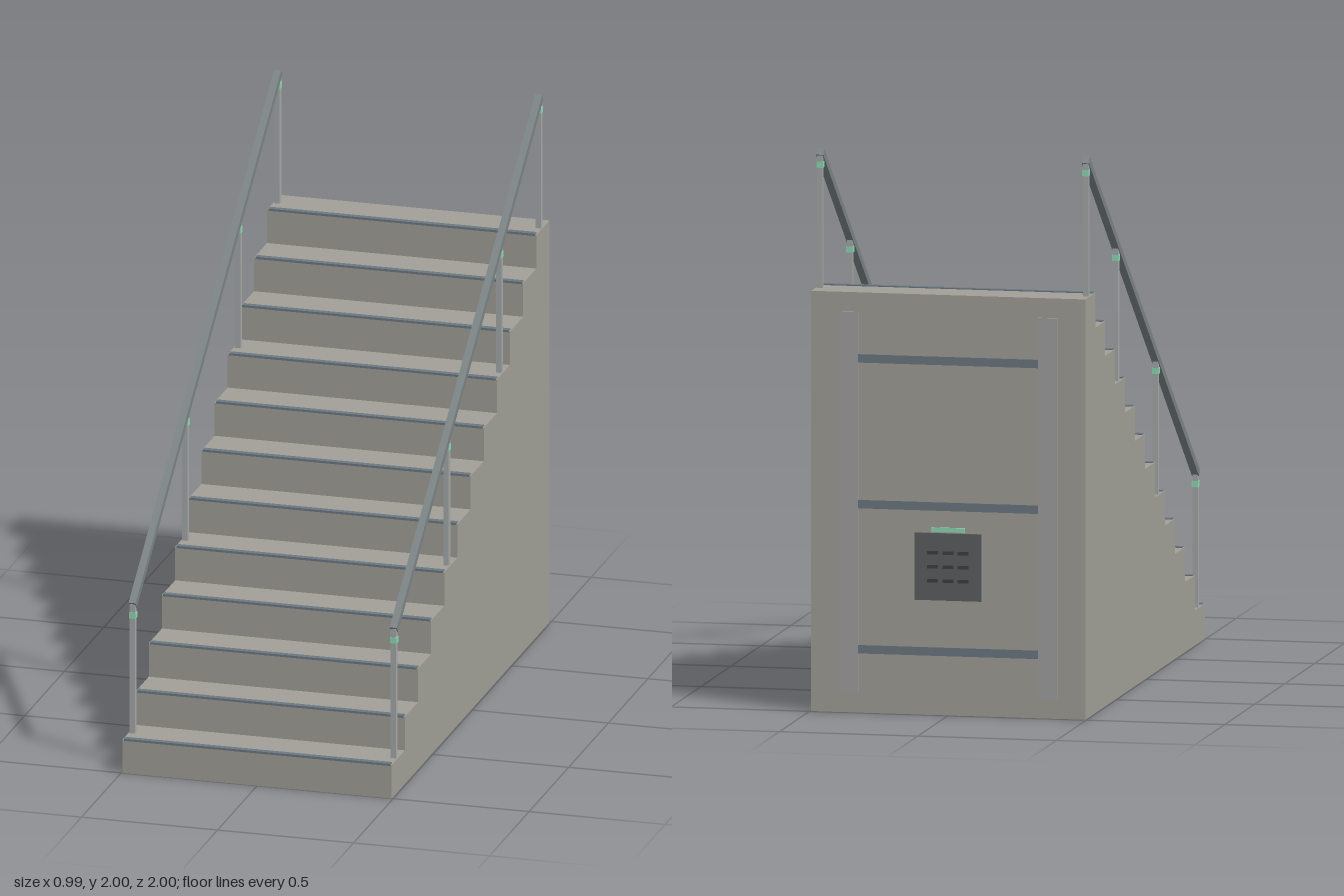
import * as THREE from 'three';

const STEPS = 12, RISE = 0.125, RUN = 0.166, WIDTH = 0.99;
const BACK = 1 - STEPS * RUN;

const mat = (color) => new THREE.MeshStandardMaterial({ color });
const stone = mat(0xa19f97);
const metal = mat(0x7c8486);
const postMetal = mat(0xa6a9a9);
const trim = mat(0x6c7882);
const bracket = mat(0xa0a0a0);
const dark = mat(0x5c5e60);
const slot = mat(0x3c3e40);
const mint = mat(0x8fd8b4);

function box(parent, name, material, size, pos) {
  const mesh = new THREE.Mesh(new THREE.BoxGeometry(...size), material);
  mesh.name = name;
  mesh.position.set(...pos);
  parent.add(mesh);
  return mesh;
}

function group(parent, name) {
  const g = new THREE.Group();
  g.name = name;
  parent.add(g);
  return g;
}

const stepZ = (i) => 1 - (i + 0.5) * RUN;

// Solid blocks reaching the floor, each with a nosing strip on its front edge
function addSteps(parent) {
  const steps = group(parent, 'steps');
  for (let i = 0; i < STEPS; i++) {
    const h = (i + 1) * RISE;
    box(steps, 'step', stone, [WIDTH, h, RUN], [0, h / 2, stepZ(i)]);
    box(steps, 'nosing', trim, [WIDTH - 0.01, 0.008, 0.022], [0, h, 1 - i * RUN - 0.0105]);
  }
}

// One handrail: four posts with collars and a sloping square rail
function addHandrail(parent, side) {
  const rail = group(parent, side > 0 ? 'leftHandrail' : 'rightHandrail');
  const x = side * 0.48;
  const z0 = stepZ(0), z1 = stepZ(STEPS - 1);
  const y0 = 0.607, y1 = 1.982;
  const railY = (z) => y0 + (y1 - y0) * (z0 - z) / (z0 - z1);
  for (const i of [0, 4, 8, 11]) {
    const z = stepZ(i), base = (i + 1) * RISE, top = railY(z);
    box(rail, 'post', postMetal, [0.02, top - base, 0.02], [x, (top + base) / 2, z]);
    box(rail, 'collar', mint, [0.024, 0.022, 0.024], [x, top - 0.042, z]);
  }
  const dy = y1 - y0, dz = z0 - z1;
  const bar = box(rail, 'rail', metal, [0.026, 0.026, Math.hypot(dy, dz) + 0.014],
    [x, (y0 + y1) / 2, (z0 + z1) / 2]);
  bar.rotation.x = Math.atan2(dy, dz);
}

// Frame and control panel on the rear face
function addBack(parent) {
  const back = group(parent, 'backFrame');
  for (const s of [-1, 1]) {
    box(back, 'upright', bracket, [0.07, 1.36, 0.008], [s * 0.36, 0.75, BACK - 0.004]);
  }
  for (const y of [0.227, 0.745, 1.265]) {
    box(back, 'crossbar', trim, [0.65, 0.03, 0.006], [0, y, BACK - 0.003]);
  }
  const panel = group(parent, 'controlPanel');
  box(panel, 'plate', dark, [0.24, 0.24, 0.006], [0, 0.53, BACK - 0.003]);
  box(panel, 'statusLight', mint, [0.12, 0.016, 0.007], [0, 0.662, BACK - 0.0035]);
  for (let row = 0; row < 3; row++) {
    for (let col = -1; col <= 1; col++) {
      box(panel, 'slot', slot, [0.04, 0.012, 0.002], [col * 0.055, 0.48 + row * 0.05, BACK - 0.007]);
    }
  }
}

export function createModel() {
  const model = new THREE.Group();
  model.name = 'staircase';
  addSteps(model);
  addHandrail(model, 1);
  addHandrail(model, -1);
  addBack(model);
  return model;
}
